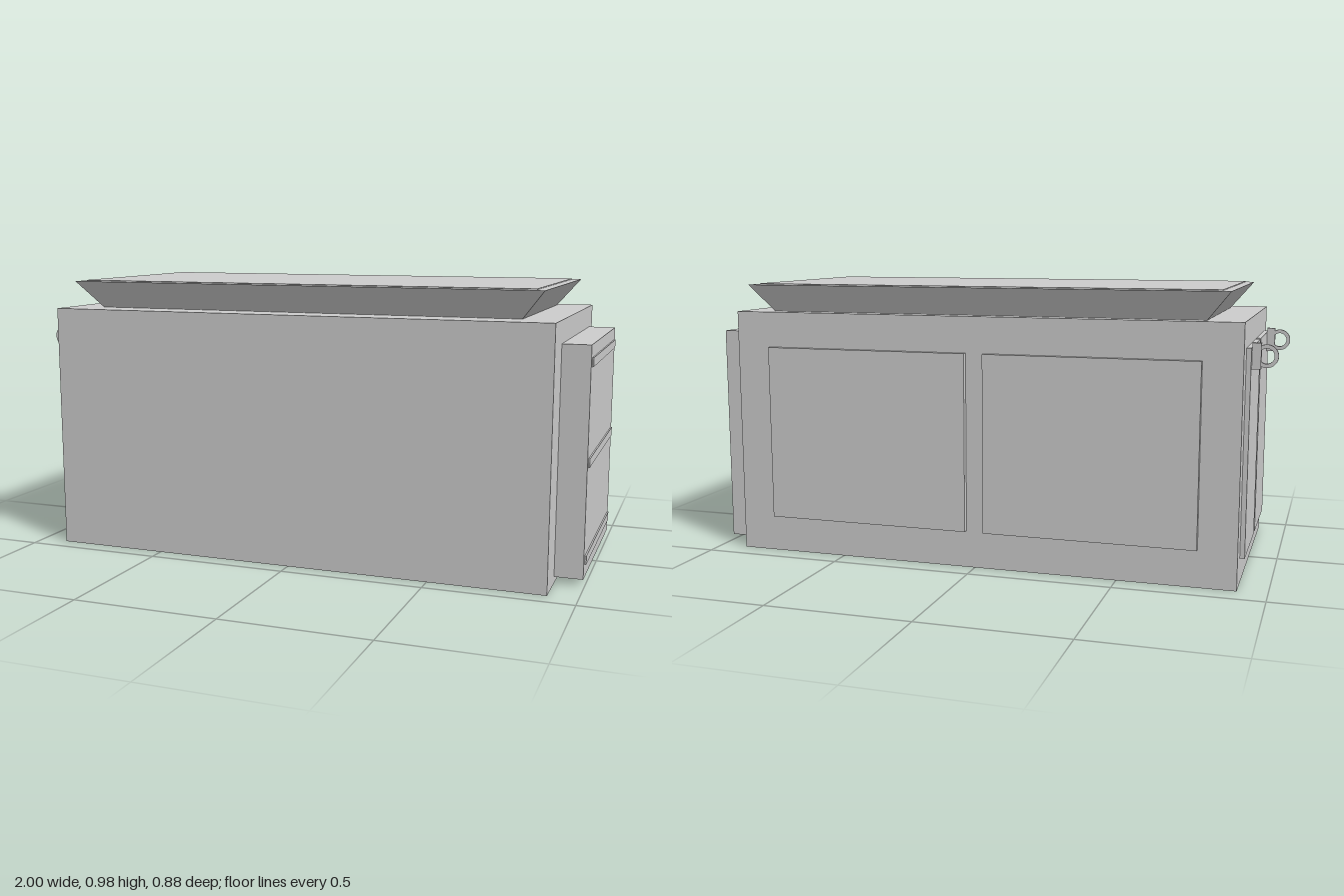
import * as THREE from 'three';

export function createModel() {
  const model = new THREE.Group();
  model.name = 'container';
  const grey = new THREE.MeshStandardMaterial({ color: 0xcccccc });
  grey.name = 'light grey';

  const add = (name, geometry) => {
    const mesh = new THREE.Mesh(geometry, grey);
    mesh.name = name;
    model.add(mesh);
    return mesh;
  };
  // Box given by its extents along each axis
  const box = (name, x0, x1, y0, y1, z0, z1) =>
    add(name, new THREE.BoxGeometry(x1 - x0, y1 - y0, z1 - z0))
      .position.set((x0 + x1) / 2, (y0 + y1) / 2, (z0 + z1) / 2);

  box('body', -0.9, 0.9, 0, 0.875, -0.42, 0.44);

  // Flared lid: a box whose upper corners move outwards
  const lid = new THREE.BoxGeometry(2, 2, 2);
  const p = lid.attributes.position;
  for (let i = 0; i < p.count; i++) {
    const top = p.getY(i) > 0;
    const zFront = top ? 0.385 : 0.325, zBack = top ? -0.417 : -0.37;
    p.setXYZ(i, p.getX(i) * (top ? 0.855 : 0.775), top ? 0.971 : 0.875, p.getZ(i) > 0 ? zFront : zBack);
  }
  lid.computeVertexNormals();
  add('lid', lid);
  box('lidPanel', -0.825, 0.825, 0.971, 0.975, -0.387, 0.355);

  // Back panels
  box('backPanel', -0.77, -0.035, 0.13, 0.75, -0.44, -0.42);
  box('backPanel', 0.03, 0.77, 0.13, 0.75, -0.44, -0.42);

  // Side cabinet with three slim rails
  box('sideCabinet', 0.9, 0.995, 0.023, 0.798, -0.35, 0.305);
  for (const y of [0.083, 0.41, 0.74]) box('cabinetRail', 0.995, 1, y - 0.015, y + 0.015, -0.33, 0.282);

  // End doors
  box('endDoor', -0.916, -0.9, 0.09, 0.788, -0.347, -0.01);
  box('endDoor', -0.916, -0.9, 0.09, 0.788, 0.02, 0.355);

  // Door brackets, each with a flat ring
  const ringShape = new THREE.Shape().absarc(0, 0, 0.038, 0, Math.PI * 2);
  ringShape.holes.push(new THREE.Path().absarc(0, 0, 0.025, 0, Math.PI * 2, true));
  for (const z of [-0.313, 0.3]) {
    box('ringBracket', -0.945, -0.916, 0.717, 0.803, z - 0.011, z + 0.011);
    const ring = new THREE.ExtrudeGeometry(ringShape, { depth: 0.012, bevelEnabled: false, curveSegments: 24 });
    add('doorRing', ring).position.set(-0.962, 0.76, z - 0.006);
  }
  return model;
}
